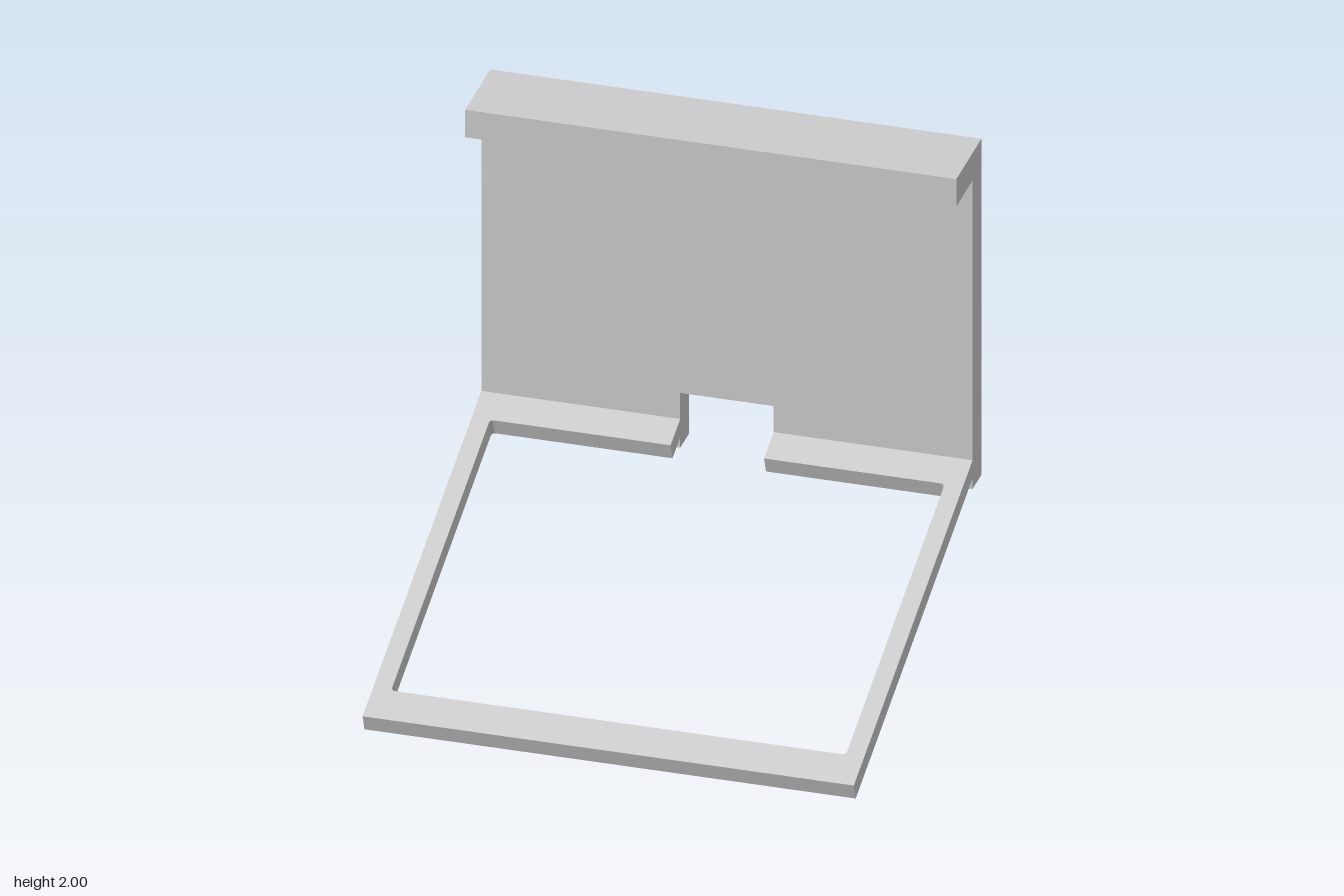
import * as THREE from 'three';

const HALF_W = 0.985;      // half width of the whole bracket
const NOTCH = 0.1875;      // half width of the central notch
const BACK = -0.865, PLATE_FRONT = -0.745, LIP_FRONT = -0.525;
const TILT = THREE.MathUtils.degToRad(20);

const material = new THREE.MeshStandardMaterial({ color: 0xcccccc, flatShading: true });

// Upright plate with a notch in its lower edge
function backPlate() {
  const bottom = 0.53, top = 2, notchTop = 0.77;
  const shape = new THREE.Shape([
    [-HALF_W, bottom], [-NOTCH, bottom], [-NOTCH, notchTop], [NOTCH, notchTop],
    [NOTCH, bottom], [HALF_W, bottom], [HALF_W, top], [-HALF_W, top],
  ].map(([x, y]) => new THREE.Vector2(x, y)));
  const geometry = new THREE.ExtrudeGeometry(shape, { depth: PLATE_FRONT - BACK, bevelEnabled: false });
  return geometry.translate(0, 0, BACK);
}

// Lip that projects forward along the top of the plate
function topLip() {
  const depth = LIP_FRONT - PLATE_FRONT;
  return new THREE.BoxGeometry(HALF_W * 2, 0.12, depth)
    .translate(0, 1.94, PLATE_FRONT + depth / 2);
}

// Sloping open frame, its rear bar split by the notch
function slopingFrame() {
  const end = 1.75, near = 0.149, far = 1.575, inner = 0.912, r = 0.018;
  const s = new THREE.Shape();
  s.moveTo(-HALF_W, 0);
  s.lineTo(HALF_W, 0);
  s.lineTo(HALF_W, end);
  s.lineTo(NOTCH, end);
  s.lineTo(NOTCH, far);
  // opening with small rounded corners
  s.lineTo(inner - r, far);
  s.quadraticCurveTo(inner, far, inner, far - r);
  s.lineTo(inner, near + r);
  s.quadraticCurveTo(inner, near, inner - r, near);
  s.lineTo(-inner + r, near);
  s.quadraticCurveTo(-inner, near, -inner, near + r);
  s.lineTo(-inner, far - r);
  s.quadraticCurveTo(-inner, far, -inner + r, far);
  s.lineTo(-NOTCH, far);
  s.lineTo(-NOTCH, end);
  s.lineTo(-HALF_W, end);
  s.closePath();

  const geometry = new THREE.ExtrudeGeometry(s, { depth: 0.0745, bevelEnabled: false, curveSegments: 4 });
  geometry.rotateX(TILT - Math.PI / 2).translate(0, 0, 0.84);

  // trim the rear end flush with the upright plate, sliding along the slope
  const p = geometry.attributes.position;
  for (let i = 0; i < p.count; i++) {
    const over = PLATE_FRONT - p.getZ(i);
    if (over > 0) {
      p.setZ(i, PLATE_FRONT);
      p.setY(i, p.getY(i) - over * Math.tan(TILT));
    }
  }
  geometry.computeVertexNormals();
  return geometry;
}

export function createModel() {
  const group = new THREE.Group();
  group.name = 'bracket';
  const parts = { backPlate: backPlate(), topLip: topLip(), slopingFrame: slopingFrame() };
  for (const [name, geometry] of Object.entries(parts)) {
    const mesh = new THREE.Mesh(geometry, material);
    mesh.name = name;
    group.add(mesh);
  }
  return group;
}
